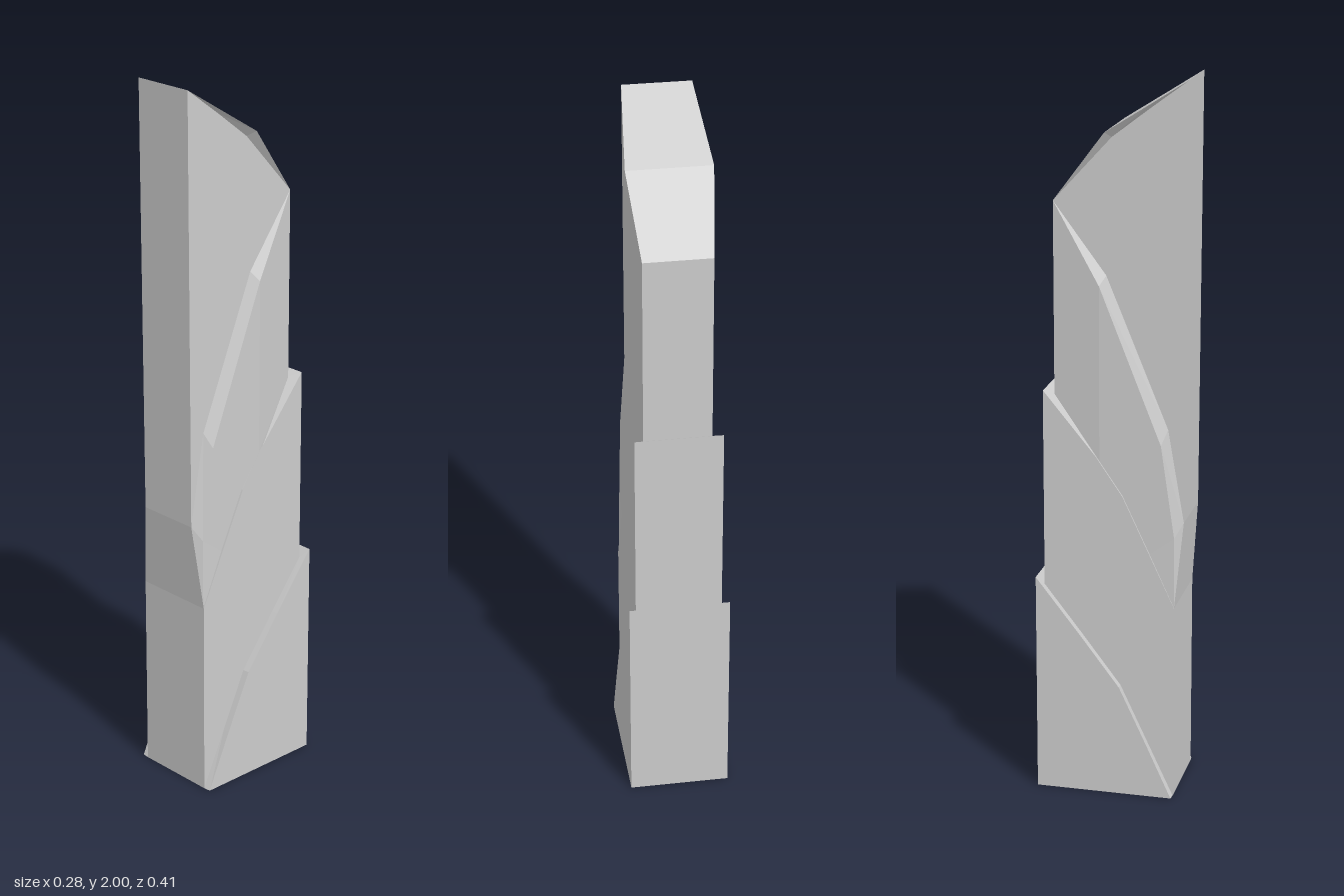
import * as THREE from 'three';

const material = new THREE.MeshStandardMaterial({ color: 0xcccccc, flatShading: true, side: THREE.DoubleSide });

// Edge from [z, y, x] points, running back to front on the +x side.
const edge = (pts, x) => pts.map(([z, y, px]) => new THREE.Vector3(px ?? x, y, z));
const mirror = (pts) => pts.map((p) => new THREE.Vector3(-p.x, p.y, p.z));

// Surface joining two edges with the same number of points.
function strip(name, a, b) {
  const pos = [];
  const tri = (p, q, r) => {
    if (new THREE.Triangle(p, q, r).getArea() < 1e-7) return;
    for (const v of [p, q, r]) pos.push(v.x, v.y, v.z);
  };
  for (let i = 0; i < a.length - 1; i++) {
    tri(a[i], b[i], b[i + 1]);
    tri(a[i], b[i + 1], a[i + 1]);
  }
  const g = new THREE.BufferGeometry();
  // reverse the corner order so the front side looks outward
  for (let i = 0; i < pos.length; i += 9) {
    for (let k = 0; k < 3; k++) [pos[i + 3 + k], pos[i + 6 + k]] = [pos[i + 6 + k], pos[i + 3 + k]];
  }
  g.setAttribute('position', new THREE.Float32BufferAttribute(pos, 3));
  g.computeVertexNormals();
  const m = new THREE.Mesh(g, material);
  m.name = name;
  return m;
}

export function createModel() {
  const tower = new THREE.Group();
  tower.name = 'tower';

  // Edges of the stacked tiers, top to bottom
  const roofEdge = edge([[-0.16, 1.67], [-0.015, 1.86, 0.115], [0.1, 1.933, 0.1035], [0.205, 2], [0.205, 2]], 0.093);
  const crownTop = edge([[-0.16, 1.67], [0, 1.845], [0.1, 1.922], [0.205, 2], [0.205, 2]], 0.093);
  const crownFoot = edge([[-0.16, 1.67], [-0.015, 1.475], [0.155, 1.06], [0.2, 0.8], [0.2, 0.8]], 0.093);
  const upperTop = edge([[-0.16, 1.67, 0.093], [-0.03, 1.45], [0.14, 1.02], [0.178, 0.76], [0.18, 0.56, 0.118]], 0.115);
  const upperFoot = edge([[-0.16, 1.14, 0.093], [-0.03, 0.965], [0.035, 0.87], [0.11, 0.71], [0.18, 0.56, 0.118]], 0.115);
  const middleTop = edge([[-0.185, 1.155], [-0.04, 0.98], [0.035, 0.87], [0.11, 0.71], [0.18, 0.56]], 0.12);
  const middleFoot = edge([[-0.185, 0.6], [-0.08, 0.465], [0.03, 0.32], [0.105, 0.16], [0.18, 0]], 0.12);
  const baseTop = edge([[-0.205, 0.625], [-0.08, 0.465], [0.03, 0.32], [0.105, 0.16], [0.178, 0]], 0.14);
  const baseFoot = baseTop.map((p) => new THREE.Vector3(p.x, 0, p.z));

  // Side walls and the sloping ledges between them, mirrored
  const sides = [
    ['roofOverhang', roofEdge, crownTop],
    ['crownSide', crownTop, crownFoot],
    ['crownLedge', crownFoot, upperTop],
    ['upperSide', upperTop, upperFoot],
    ['upperLedge', upperFoot, middleTop],
    ['middleSide', middleTop, middleFoot],
    ['middleLedge', middleFoot, baseTop],
    ['baseSide', baseTop, baseFoot],
  ];
  for (const [name, upper, lower] of sides) {
    tower.add(strip(name + 'Left', upper, lower));
    tower.add(strip(name + 'Right', mirror(lower), mirror(upper)));
  }

  // Faceted roof
  tower.add(strip('roof', mirror(roofEdge), roofEdge));

  // Front wall, widening below the crown
  const front = edge([[0.205, 2, 0.093], [0.2, 0.8, 0.093], [0.18, 0.56, 0.12], [0.18, 0, 0.12]]);
  tower.add(strip('frontWall', mirror(front), front));

  // Stepped back wall
  const back = [crownFoot, upperFoot, middleTop, middleFoot, baseTop, baseFoot].map((e) => e[0]);
  tower.add(strip('backWall', back, mirror(back)));

  return tower;
}
